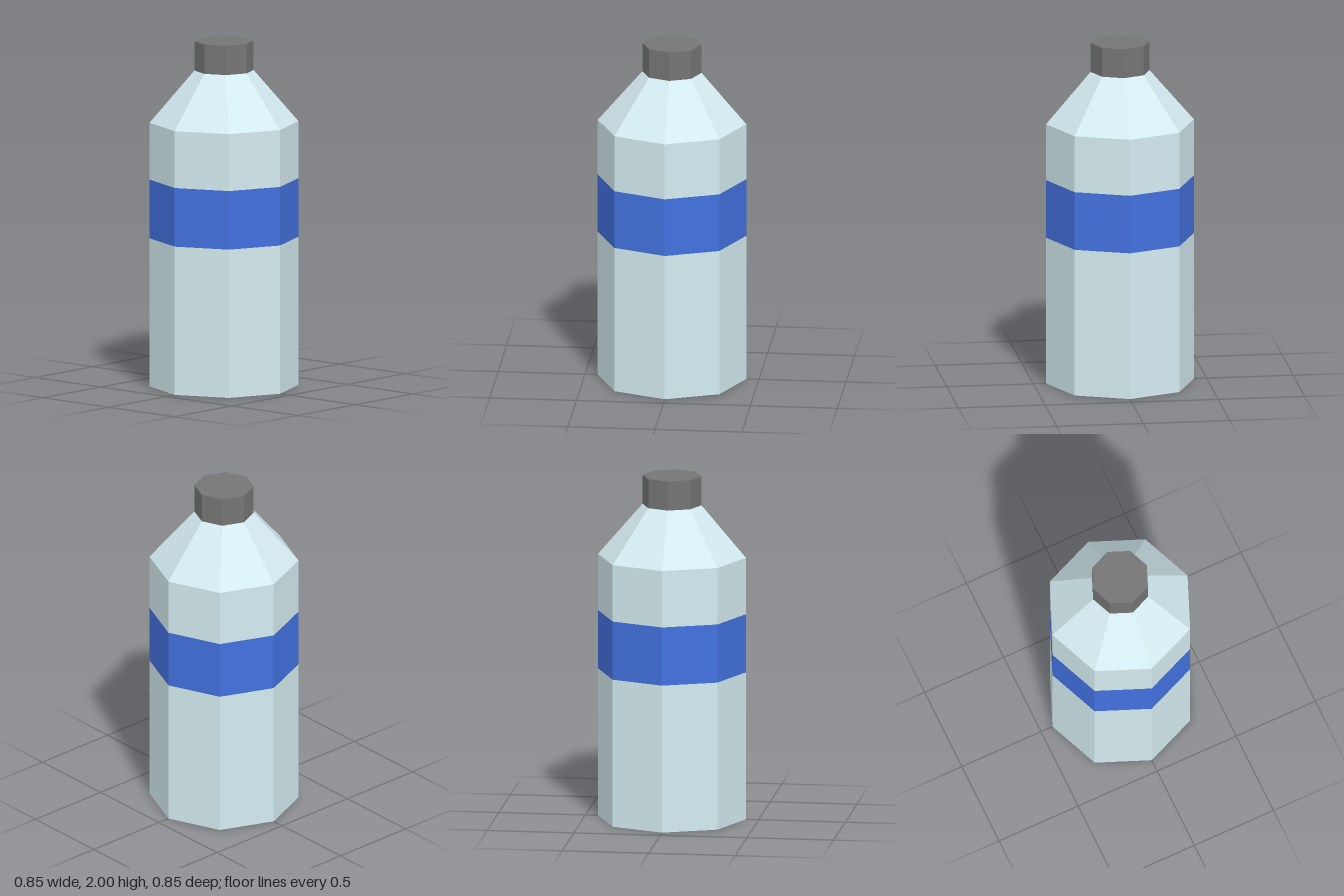
import * as THREE from 'three';

const SIDES = 8;
const BODY_R = 0.427;
const NECK_R = 0.17;

function material(color) {
  return new THREE.MeshStandardMaterial({ color, flatShading: true });
}

// Eight-sided ring section between two heights; corners lie on the x and z axes
function section(name, rBottom, rTop, y0, y1, mat, open = true) {
  const geometry = new THREE.CylinderGeometry(rTop, rBottom, y1 - y0, SIDES, 1, open);
  const mesh = new THREE.Mesh(geometry, mat);
  mesh.name = name;
  mesh.position.y = (y0 + y1) / 2;
  return mesh;
}

export function createModel() {
  const group = new THREE.Group();
  group.name = 'bottle';

  const plastic = material(0xd4ecf1);
  const blue = material(0x4371df);
  const grey = material(0x757575);

  // Flat base, facing down
  const base = new THREE.Mesh(new THREE.CircleGeometry(BODY_R, SIDES), plastic);
  base.name = 'base';
  base.rotation.x = Math.PI / 2;

  group.add(
    base,
    section('lowerBody', BODY_R, BODY_R, 0, 0.86, plastic),
    section('labelBand', BODY_R, BODY_R, 0.86, 1.2, blue),
    section('upperBody', BODY_R, BODY_R, 1.2, 1.53, plastic),
    section('shoulder', BODY_R, NECK_R, 1.53, 1.83, plastic),
    section('cap', NECK_R, NECK_R, 1.83, 2, grey, false)
  );
  return group;
}
